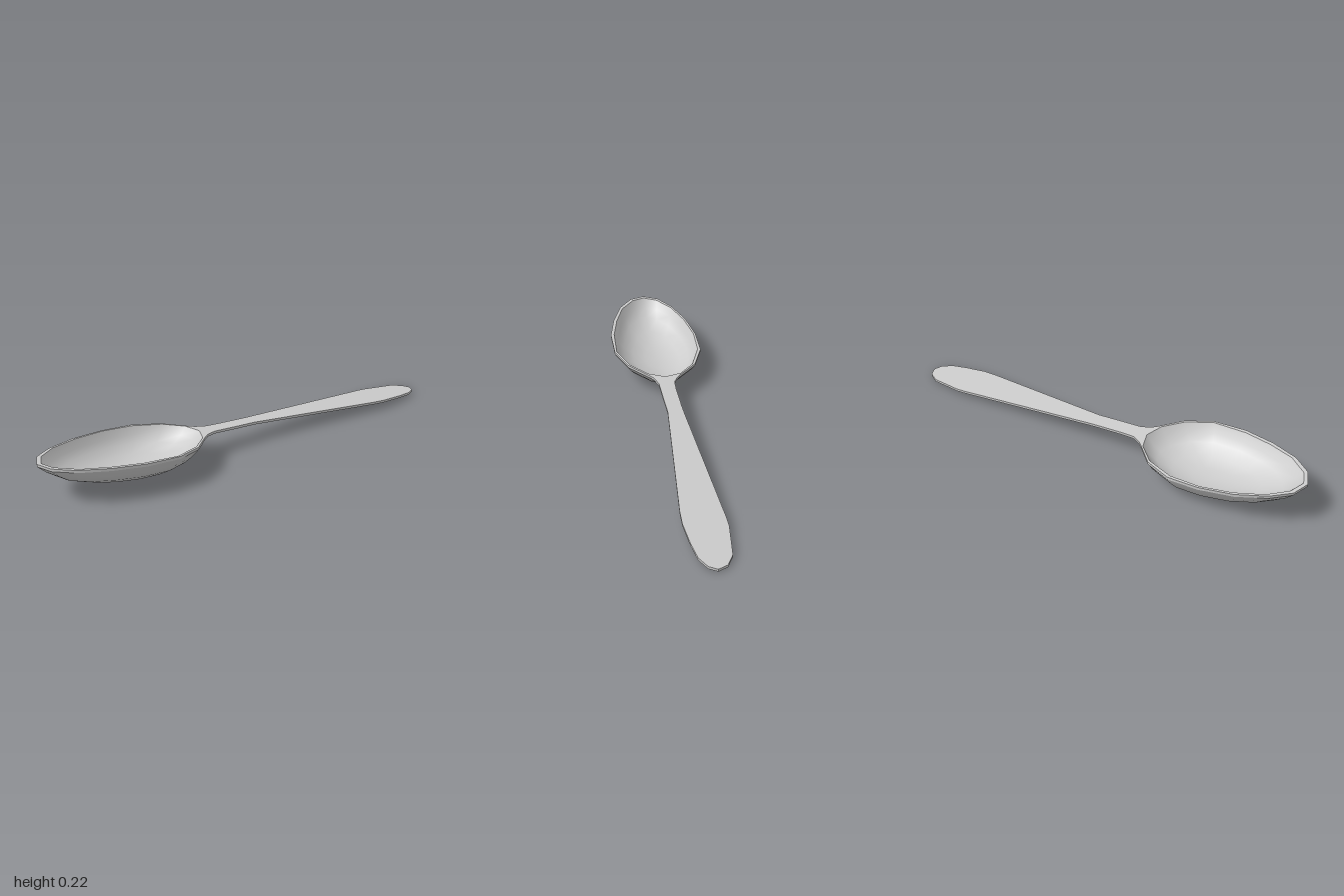
import * as THREE from 'three';
import { toCreasedNormals, mergeVertices } from 'three/addons/utils/BufferGeometryUtils.js';

const THICK = 0.015;
// the whole spoon lies in one gently tilted plane
const planeY = z => 0.115 + 0.1 * z;
const CENTRE = [-0.48, 0.55];

// outer edge of the bowl as [x, z], from the neck round the tip and back
const outerRim = [
  [-0.165, 0.215], [-0.127, 0.30], [-0.113, 0.46], [-0.16, 0.615], [-0.285, 0.767], [-0.43, 0.88],
  [-0.58, 0.963], [-0.71, 0.99], [-0.805, 0.96], [-0.853, 0.873], [-0.847, 0.746], [-0.794, 0.58],
  [-0.698, 0.413], [-0.58, 0.275], [-0.43, 0.195], [-0.27, 0.18],
];
// inner lip of the bowl
const innerRim = [
  [-0.19, 0.228], [-0.137, 0.32], [-0.127, 0.46], [-0.175, 0.614], [-0.307, 0.76], [-0.44, 0.862],
  [-0.577, 0.942], [-0.71, 0.968], [-0.79, 0.943], [-0.832, 0.864], [-0.83, 0.735], [-0.778, 0.58],
  [-0.69, 0.423], [-0.57, 0.29], [-0.42, 0.206], [-0.286, 0.19],
];
// handle edge, from the left of the neck round the end to the right of the neck
const handleEdge = [
  [-0.24, 0.175], [-0.19, 0.155], [-0.14, 0.10], [-0.03, -0.037], [0.01, -0.09], [0.52, -0.79],
  [0.56, -0.84], [0.705, -0.975], [0.775, -1.0], [0.83, -0.985], [0.85, -0.94], [0.84, -0.87],
  [0.79, -0.78], [0.715, -0.667], [0.656, -0.6], [0.065, -0.01], [-0.005, 0.08], [-0.106, 0.206],
  [-0.127, 0.265],
];

const toPoints = list => list.map(([x, z]) => new THREE.Vector2(x, -z));

// flat slab: handle and rim in one piece, with the bowl opening cut out
function slabGeometry() {
  const shape = new THREE.Shape(toPoints([...handleEdge, ...outerRim.slice(1)]));
  shape.holes.push(new THREE.Path(toPoints(innerRim)));
  const geo = new THREE.ExtrudeGeometry(shape, { depth: THICK, bevelEnabled: false });
  geo.rotateX(-Math.PI / 2);
  const p = geo.attributes.position;
  for (let i = 0; i < p.count; i++) p.setY(i, p.getY(i) - THICK + planeY(p.getZ(i)));
  geo.deleteAttribute('normal');
  geo.deleteAttribute('uv');
  return toCreasedNormals(mergeVertices(geo), 0.7);
}

// bowl skin: the rim outline shrinks toward the centre as it gets deeper
function bowlGeometry(rim, profile, facesUp) {
  const n = rim.length, pos = [], index = [];
  for (const [s, depth] of profile) {
    for (const [x, z] of rim) {
      const px = CENTRE[0] + (x - CENTRE[0]) * s;
      const pz = CENTRE[1] + (z - CENTRE[1]) * s;
      pos.push(px, planeY(pz) - depth, pz);
    }
  }
  const last = profile.length - 1;
  pos.push(CENTRE[0], planeY(CENTRE[1]) - profile[last][1] - 0.004, CENTRE[1]);
  const tri = (a, b, c) => (facesUp ? index.push(a, c, b) : index.push(a, b, c));
  for (let j = 0; j < n; j++) {
    const k = (j + 1) % n;
    for (let i = 0; i < last; i++) {
      tri(i * n + j, i * n + k, (i + 1) * n + j);
      tri(i * n + k, (i + 1) * n + k, (i + 1) * n + j);
    }
    tri(last * n + j, last * n + k, (last + 1) * n);
  }
  const geo = new THREE.BufferGeometry();
  geo.setAttribute('position', new THREE.Float32BufferAttribute(pos, 3));
  geo.setIndex(index);
  geo.computeVertexNormals();
  return geo;
}

export function createModel() {
  const group = new THREE.Group();
  group.name = 'spoon';
  const material = new THREE.MeshStandardMaterial({ color: 0xcccccc });
  const add = (name, geometry) => {
    const mesh = new THREE.Mesh(geometry, material);
    mesh.name = name;
    group.add(mesh);
  };
  add('handleAndRim', slabGeometry());
  add('bowlOutside', bowlGeometry(outerRim,
    [[1, THICK], [0.91, 0.058], [0.79, 0.1], [0.57, 0.142], [0.28, 0.162]], false));
  add('bowlInside', bowlGeometry(innerRim,
    [[1, 0], [0.91, 0.047], [0.79, 0.087], [0.57, 0.128], [0.28, 0.148]], true));
  return group;
}
